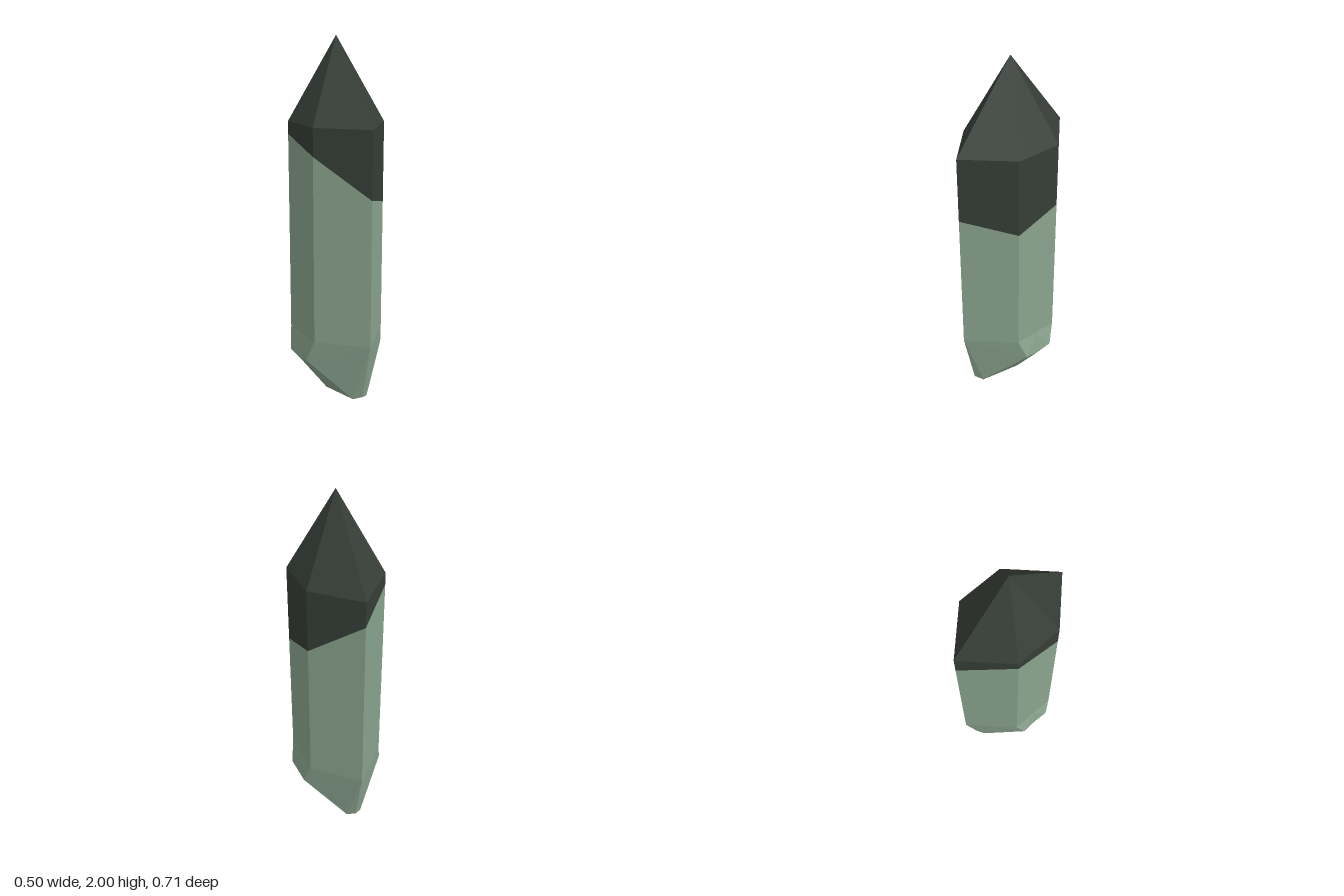
import * as THREE from 'three';

const V = (x, y, z) => new THREE.Vector3(x, y, z);

// Flat-faced geometry from convex polygons, each wound to face away from the core
function facets(polygons) {
  const pos = [], core = V(0, 0.9, 0);
  for (const poly of polygons) {
    for (let i = 1; i < poly.length - 1; i++) {
      let [a, b, c] = [poly[0], poly[i], poly[i + 1]];
      const n = b.clone().sub(a).cross(c.clone().sub(a));
      if (n.dot(a.clone().add(b).add(c).divideScalar(3).sub(core)) < 0) [b, c] = [c, b];
      for (const p of [a, b, c]) pos.push(p.x, p.y, p.z);
    }
  }
  const g = new THREE.BufferGeometry();
  g.setAttribute('position', new THREE.Float32BufferAttribute(pos, 3));
  g.computeVertexNormals();
  return g;
}

export function createModel() {
  const group = new THREE.Group();
  const paleGreen = new THREE.MeshStandardMaterial({ color: 0x8aa48e });
  paleGreen.name = 'pale green stone';
  const darkGreen = new THREE.MeshStandardMaterial({ color: 0x363e37 });
  darkGreen.name = 'dark green stone';

  // Six-sided outline of the shaft
  const outline = [[0, 0.355], [0.22, 0.133], [0.22, -0.133], [0, -0.355], [-0.22, -0.133], [-0.22, 0.133]];
  const ring = (height) => outline.map(([x, z]) => V(x, height(x, z), z));
  const lower = ring(() => 0.37);
  const split = ring((x, z) => 1.295 - 0.66 * x - 0.31 * z); // slanted colour line
  const upper = ring(() => 1.55);
  const band = (a, b) => a.map((p, i) => [p, a[(i + 1) % 6], b[(i + 1) % 6], b[i]]);

  // Faceted foot: one quarter, mirrored across x and z
  const foot = [];
  for (const sx of [1, -1]) for (const sz of [1, -1]) {
    const P = (x, y, z) => V(sx * x, y, sz * z);
    const corner = P(0.22, 0.37, 0.133), ridge = P(0, 0.37, 0.355);
    const flare = P(0.248, 0.25, 0.09), flareMid = P(0.24, 0.23, 0);
    const keel = P(0.065, 0, 0), keelEnd = P(0.045, 0.03, 0.255), toe = P(0, 0.045, 0.285);
    foot.push(
      [P(0.22, 0.37, 0), corner, flare, flareMid],
      [ridge, corner, flare, keelEnd, toe],
      [flareMid, flare, keelEnd, keel],
      [P(0, 0, 0), keel, keelEnd, toe],
    );
  }

  // Pointed cap
  const tip = V(0, 2, 0);
  const cap = upper.map((p, i) => [p, upper[(i + 1) % 6], tip]);

  const add = (name, polygons, material) => {
    const mesh = new THREE.Mesh(facets(polygons), material);
    mesh.name = name;
    group.add(mesh);
  };
  add('foot', foot, paleGreen);
  add('shaft', band(lower, split), paleGreen);
  add('darkCollar', band(split, upper), darkGreen);
  add('pointedCap', cap, darkGreen);
  return group;
}
